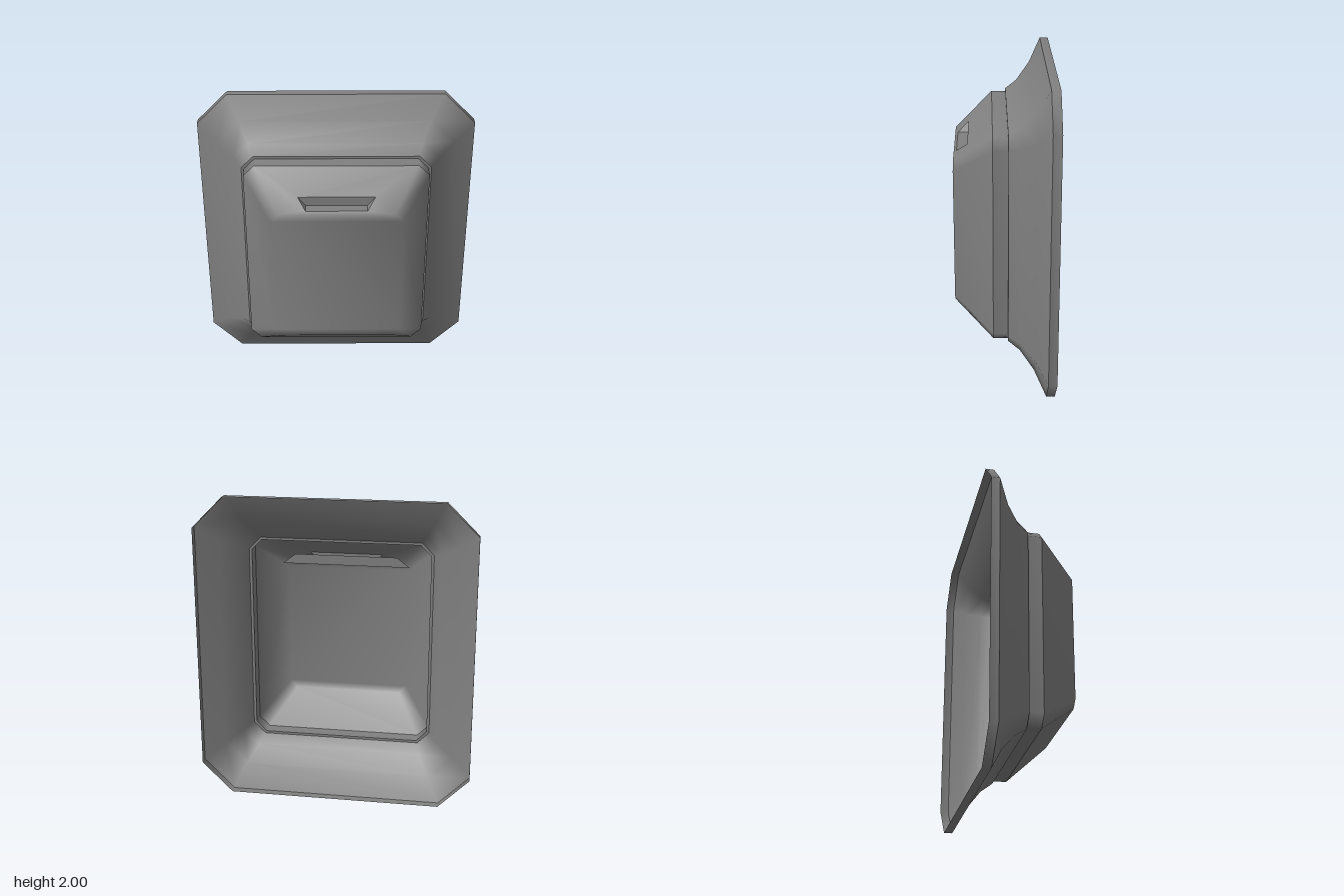
import * as THREE from 'three';

const grey = new THREE.MeshStandardMaterial({ color: 0x808080, side: THREE.DoubleSide });
grey.name = 'plain grey';

// Chamfered rectangle as eight points, counter-clockwise seen from the front
function ring(hx, hy, c, z) {
  return [
    [hx, c - hy], [hx, hy - c], [hx - c, hy], [c - hx, hy],
    [-hx, hy - c], [-hx, c - hy], [c - hx, -hy], [hx - c, -hy],
  ].map(([x, y]) => [x, y + 1, z]);
}

// Mesh from points and four-cornered faces, smooth where points are shared
function quadMesh(name, points, quads) {
  const geometry = new THREE.BufferGeometry();
  geometry.setAttribute('position', new THREE.Float32BufferAttribute(points.flat(), 3));
  geometry.setIndex(quads.flatMap(([a, b, c, d]) => [a, b, c, a, c, d]));
  geometry.computeVertexNormals();
  const mesh = new THREE.Mesh(geometry, grey);
  mesh.name = name;
  return mesh;
}

// Side faces joining successive rings; skip leaves out one side
function loftQuads(count, skip = -1) {
  const quads = [];
  for (let r = 0; r < count - 1; r++) {
    for (let i = 0; i < 8; i++) {
      if (i === skip) continue;
      const j = (i + 1) % 8, a = r * 8, b = a + 8;
      quads.push([a + i, a + j, b + j, b + i]);
    }
  }
  return quads;
}

function loft(name, rings) {
  return quadMesh(name, rings.flat(), loftQuads(rings.length));
}

export function createModel() {
  const group = new THREE.Group();
  group.name = 'domedCover';

  const rimFront = ring(0.888, 1, 0.2, -0.26);
  const mouth = ring(0.6, 0.688, 0.078, -0.02);
  const collarBack = ring(0.582, 0.672, 0.068, -0.02);
  const collarFront = ring(0.582, 0.672, 0.068, 0.073);

  // Outer rim, curved flare, small step and collar
  group.add(loft('rim', [ring(0.888, 1, 0.2, -0.315), rimFront]));
  group.add(loft('flare', [
    rimFront,
    ring(0.757, 0.85, 0.148, -0.183),
    ring(0.65, 0.74, 0.1, -0.095),
    mouth,
  ]));
  group.add(loft('step', [mouth, collarBack]));
  group.add(loft('collar', [collarBack, collarFront]));

  // Tapered dome with a flat front and a slot opening in its top slope
  const slot = [[0.24, 1.54, 0.228], [-0.24, 1.54, 0.228], [-0.19, 1.481, 0.297], [0.19, 1.481, 0.297]];
  const dome = [...collarFront, ...ring(0.41, 0.466, 0.05, 0.315), ...slot];
  group.add(quadMesh('dome', dome, [
    ...loftQuads(2, 2),
    [9, 10, 11, 12], [8, 9, 12, 13], [15, 8, 13, 14],
    [2, 3, 17, 16], [3, 11, 18, 17], [11, 10, 19, 18], [10, 2, 16, 19],
  ]));

  // Slot recess: level floor, upright back and two end faces
  const [tr, tl, bl, br] = slot;
  const backL = [-0.19, 1.481, 0.228], backR = [0.19, 1.481, 0.228];
  group.add(quadMesh('slotFloor', [bl, br, backR, backL], [[0, 1, 2, 3]]));
  group.add(quadMesh('slotBack', [backL, backR, tr, tl], [[0, 1, 2, 3]]));
  group.add(quadMesh('slotEndLeft', [br, tr, backR, backR], [[0, 1, 2, 3]]));
  group.add(quadMesh('slotEndRight', [bl, backL, tl, tl], [[0, 1, 2, 3]]));

  // Baffle strip inside the dome, behind the slot
  group.add(quadMesh('innerBaffle', [
    [-0.425, 1.465, 0.2], [0.425, 1.465, 0.2], [0.34, 1.53, 0.2], [-0.34, 1.53, 0.2],
  ], [[0, 1, 2, 3]]));

  return group;
}
